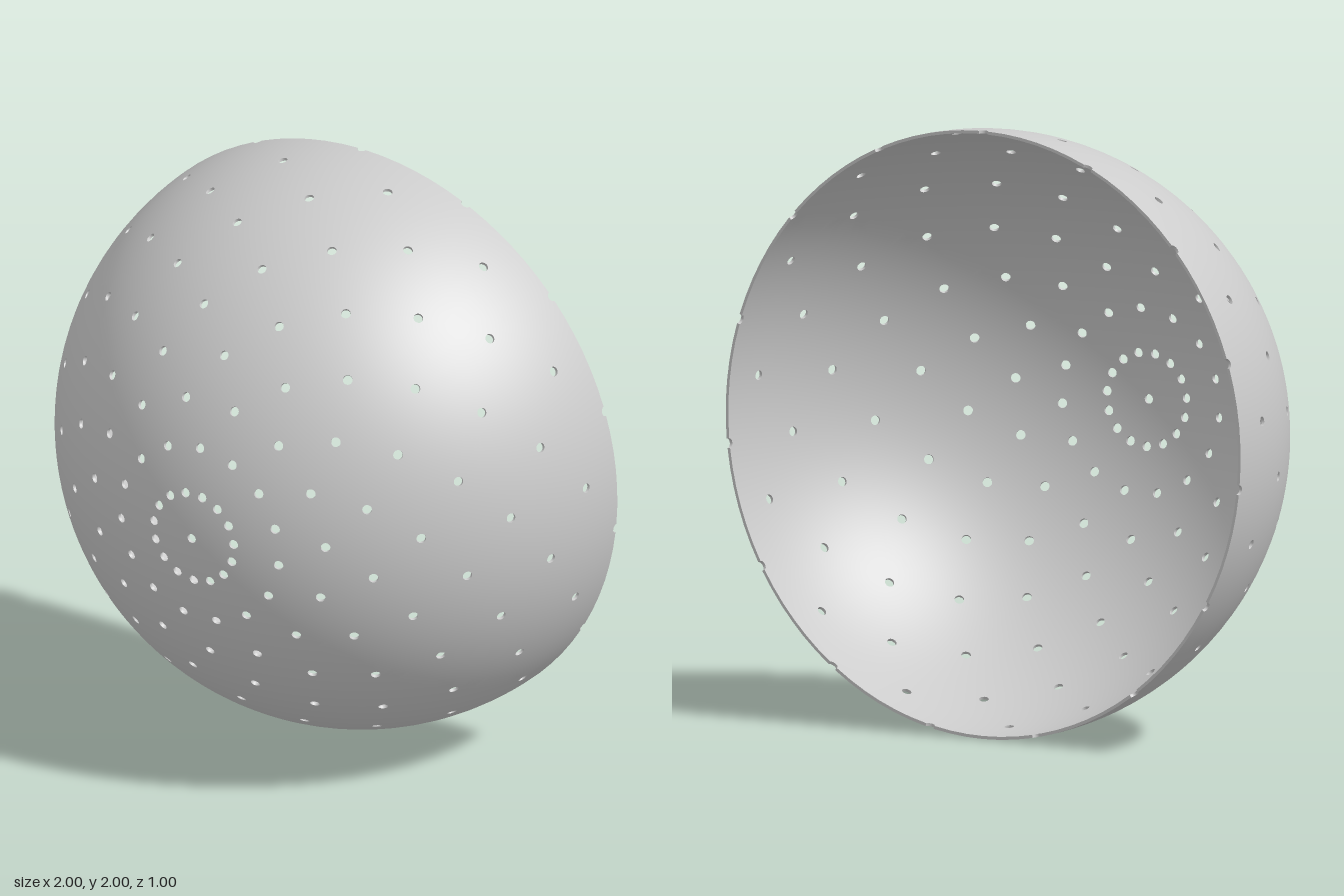
import * as THREE from 'three';

const OUTER = 1, INNER = 0.99, HOLE = 0.016;
const RINGS = 10, PER_RING = 15, STEPS = 3;
const RING_STEP = Math.PI / 2 / RINGS;
const HALF_CELL = Math.PI / PER_RING;

// Unit direction from the angle off the front pole and the angle around it
const dir = (theta, phi) => new THREE.Vector3(
  -Math.sin(theta) * Math.sin(phi), Math.sin(theta) * Math.cos(phi), Math.cos(theta));

// Collects quads with their own corner normals
class Surface {
  constructor() { this.pos = []; this.nor = []; }
  quad(points, normals) {
    for (const k of [0, 1, 2, 0, 2, 3]) {
      this.pos.push(...points[k].toArray());
      this.nor.push(...normals[k].toArray());
    }
  }
  mesh(name, material) {
    const g = new THREE.BufferGeometry();
    g.setAttribute('position', new THREE.Float32BufferAttribute(this.pos, 3));
    g.setAttribute('normal', new THREE.Float32BufferAttribute(this.nor, 3));
    g.translate(0, 1, -0.5);
    const m = new THREE.Mesh(g, material);
    m.name = name;
    return m;
  }
}

export function createModel() {
  const outer = new Surface(), inner = new Surface();
  const walls = new Surface(), rim = new Surface();
  const at = (p, r) => p.clone().multiplyScalar(r);

  // One cell of the shell: a band from a hole's edge out to the cell's border
  function addCell(centre, holeEdge, border, count, onRim) {
    const grid = [];
    for (let i = 0; i <= count; i++) {
      const a = holeEdge(i), b = border(i), row = [];
      for (let m = 0; m <= STEPS; m++) row.push(a.clone().lerp(b, m / STEPS).normalize());
      grid.push(row);
    }
    for (let i = 0; i < count; i++) {
      const p = grid[i], q = grid[i + 1];
      for (let m = 0; m < STEPS; m++) {
        const c = [p[m], p[m + 1], q[m + 1], q[m]];
        outer.quad(c.map(v => at(v, OUTER)), c);
        c.reverse();
        inner.quad(c.map(v => at(v, INNER)), c.map(v => at(v, -1)));
      }
      const n0 = centre.clone().sub(p[0]).normalize(), n1 = centre.clone().sub(q[0]).normalize();
      walls.quad([at(p[0], OUTER), at(q[0], OUTER), at(q[0], INNER), at(p[0], INNER)], [n0, n1, n1, n0]);
    }
    if (!onRim) return;
    // Flat edge of the open side, on both sides of a half hole
    const back = new THREE.Vector3(0, 0, -1);
    for (const [row, flip] of [[grid[0], false], [grid[count], true]]) {
      for (let m = 0; m < STEPS; m++) {
        const c = [at(row[m], INNER), at(row[m + 1], INNER), at(row[m + 1], OUTER), at(row[m], OUTER)];
        if (flip) c.reverse();
        rim.quad(c, [back, back, back, back]);
      }
    }
  }

  const holeAngle = Math.asin(HOLE);

  // Front cap around the central hole
  const capCount = PER_RING * 8;
  const around = i => i / capCount * Math.PI * 2;
  addCell(dir(0, 0), i => dir(holeAngle, around(i)), i => dir(RING_STEP / 2, around(i)), capCount, false);

  // Staggered rings of holes; the last ring is cut in half by the rim
  const clamp = v => THREE.MathUtils.clamp(v, -1, 1);
  for (let k = 1; k <= RINGS; k++) {
    const theta = k * RING_STEP;
    for (let j = 0; j < PER_RING; j++) {
      const phi = (k % 2 ? Math.PI : 0) + j * 2 * HALF_CELL;
      const centre = dir(theta, phi);
      const u = new THREE.Vector3(-Math.cos(phi), -Math.sin(phi), 0);
      const v = centre.clone().cross(u);
      const holeEdge = i => {
        const a = i / 24 * Math.PI * 2;
        return at(centre, Math.cos(holeAngle))
          .addScaledVector(u, HOLE * Math.cos(a)).addScaledVector(v, HOLE * Math.sin(a));
      };
      // Walk the cell's four-sided border in 24 steps
      const border = i => {
        const s = clamp((6 - (i <= 12 ? i : 24 - i)) / 4);
        const t = clamp((i <= 12 ? Math.min(i, 12 - i) : -Math.min(i - 12, 24 - i)) / 2);
        return dir(theta - t * RING_STEP / 2, phi + s * HALF_CELL);
      };
      const last = k === RINGS;
      addCell(centre, holeEdge, border, last ? 12 : 24, last);
    }
  }

  const material = new THREE.MeshStandardMaterial({ color: 0xcccccc });
  const group = new THREE.Group();
  group.name = 'perforatedDome';
  group.add(
    outer.mesh('outerShell', material), inner.mesh('innerShell', material),
    walls.mesh('holeWalls', material), rim.mesh('rim', material));
  return group;
}
